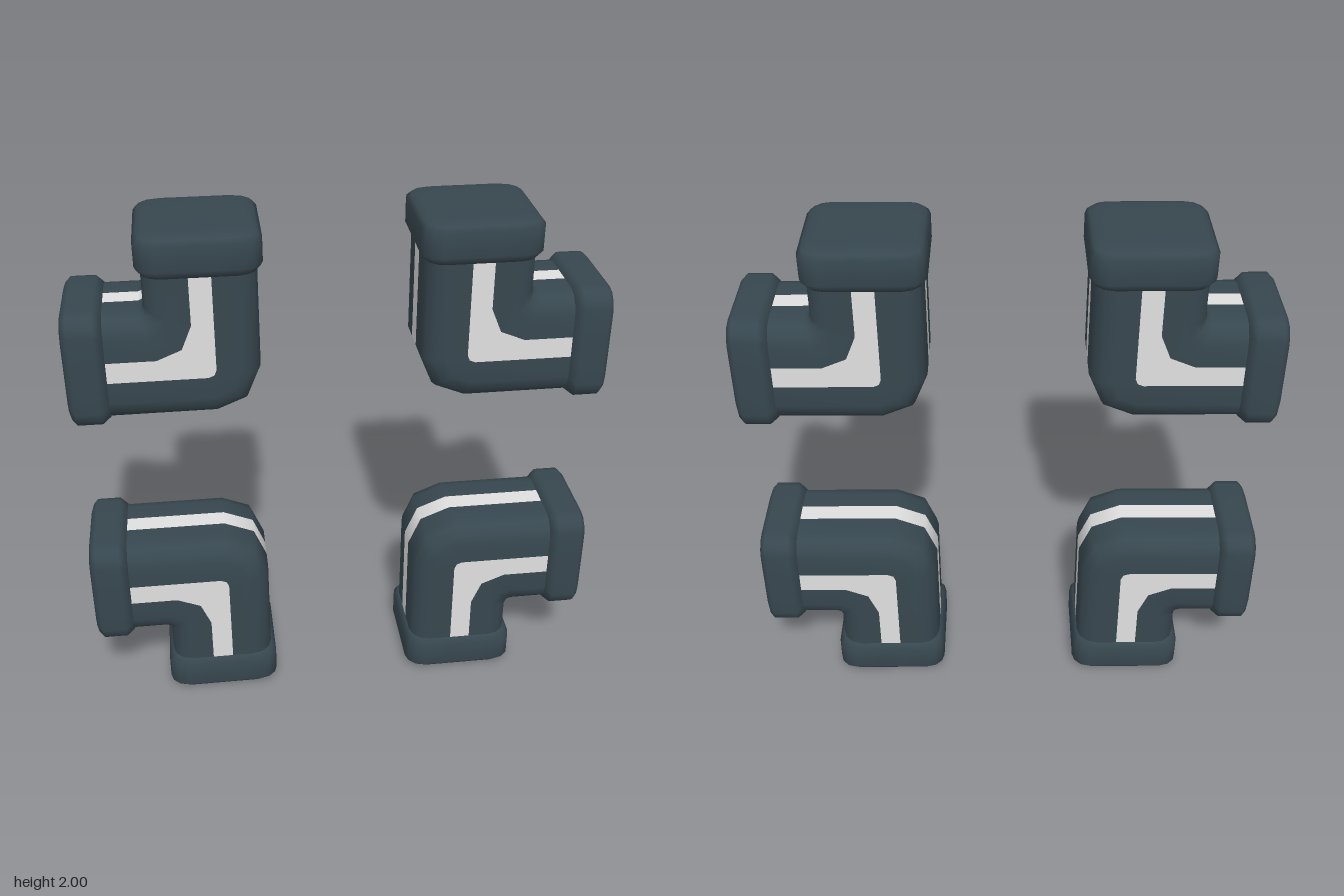
import * as THREE from 'three';

const L = 0.502;      // centre of an elbow to the end of its caps
const HALF = 0.203;   // half width of the pipe
const STRIPE = 0.04;  // half width of the stripes
const ARC = 3;        // segments per rounded corner
const BLOCK = ARC + 3;

// Rounded square of [offset, z] points, with two stripe points on each side.
function section(half, radius) {
  const r = Math.min(radius, half), w = Math.min(STRIPE, half), pts = [];
  for (let k = 0; k < 4; k++) {
    const side = [];
    for (let i = 0; i <= ARC; i++) {
      const a = (i / ARC) * Math.PI / 2;
      side.push([half - r + r * Math.cos(a), half - r + r * Math.sin(a)]);
    }
    side.push([w, half], [-w, half]);
    const c = [1, 0, -1, 0][k], s = [0, 1, 0, -1][k];
    for (const [o, z] of side) pts.push([o * c - z * s, o * s + z * c]);
  }
  return pts;
}

// Skin over a row of rings; group 0 is the body, group 1 the stripes.
function loft(rings) {
  const n = rings[0].length, body = [], stripes = [];
  for (let j = 0; j < rings.length - 1; j++) {
    for (let i = 0; i < n; i++) {
      const a = j * n + i, b = j * n + (i + 1) % n;
      const list = i % BLOCK === ARC + 1 ? stripes : body;
      list.push(a, a + n, b, b, a + n, b + n);
    }
  }
  const geo = new THREE.BufferGeometry();
  geo.setAttribute('position', new THREE.Float32BufferAttribute(rings.flat(2), 3));
  geo.setIndex([...body, ...stripes]);
  geo.addGroup(0, body.length, 0);
  geo.addGroup(body.length, stripes.length, 1);
  geo.computeVertexNormals();
  return geo;
}

// Bend radius of the pipe wall, from the inside of the elbow to the outside.
function bendRadius(o) {
  const stops = [[-HALF, 0.02], [-STRIPE, 0.13], [STRIPE, 0.03], [HALF, 0.165]];
  const k = o < -STRIPE ? 0 : o < STRIPE ? 1 : 2;
  const [o0, r0] = stops[k], [o1, r1] = stops[k + 1];
  return r0 + (r1 - r0) * (o - o0) / (o1 - o0);
}

// Pipe from the -x arm round to the +y arm.
function pipeGeometry() {
  const reach = L - 0.1, d = Math.SQRT1_2;
  const rings = [[], [], [], [], []];
  for (const [o, z] of section(HALF, 0.08)) {
    const r = bendRadius(o);
    rings[0].push([-reach, -o, z]);
    rings[1].push([o - r, -o, z]);
    rings[2].push([o - r + r * d, -o + r - r * d, z]);
    rings[3].push([o, -o + r, z]);
    rings[4].push([o, reach, z]);
  }
  return loft(rings);
}

// Cushioned end cap on the -x arm: [depth, half width] of each ring.
function capGeometry() {
  const profile = [[0, 0], [0, 0.15], [0.004, 0.188], [0.012, 0.207], [0.03, 0.222],
    [0.122, 0.222], [0.152, 0.203], [0.155, 0.15]];
  return loft(profile.map(([t, h]) =>
    section(h, 0.07).map(([o, z]) => [-L + t, -o, z])));
}

export function createModel() {
  const slate = new THREE.MeshStandardMaterial({ color: 0x37474f });
  slate.name = 'slate';
  const paleGrey = new THREE.MeshStandardMaterial({ color: 0xe0e0e0 });
  paleGrey.name = 'paleGrey';
  const pipeGeo = pipeGeometry(), capGeo = capGeometry();

  const model = new THREE.Group();
  model.name = 'pipeElbows';

  function addElbow(name, x, y, rx, ry, rz) {
    const elbow = new THREE.Group();
    elbow.name = name;
    const pipe = new THREE.Mesh(pipeGeo, [slate, paleGrey]);
    pipe.name = 'stripedPipe';
    const sideCap = new THREE.Mesh(capGeo, slate);
    sideCap.name = 'sideCap';
    const endCap = new THREE.Mesh(capGeo, slate);
    endCap.name = 'endCap';
    endCap.rotation.z = -Math.PI / 2;
    elbow.add(pipe, sideCap, endCap);
    elbow.position.set(x, y, 0);
    elbow.rotation.set(rx, ry, rz);
    model.add(elbow);
  }

  // Four elbows, each a half turn of the first
  const cx = 1 - L, top = 2 - L;
  addElbow('upperRightElbow', -cx, top, 0, 0, 0);
  addElbow('upperLeftElbow', cx, top, 0, Math.PI, 0);
  addElbow('lowerRightElbow', -cx, L, Math.PI, 0, 0);
  addElbow('lowerLeftElbow', cx, L, 0, 0, Math.PI);
  return model;
}
